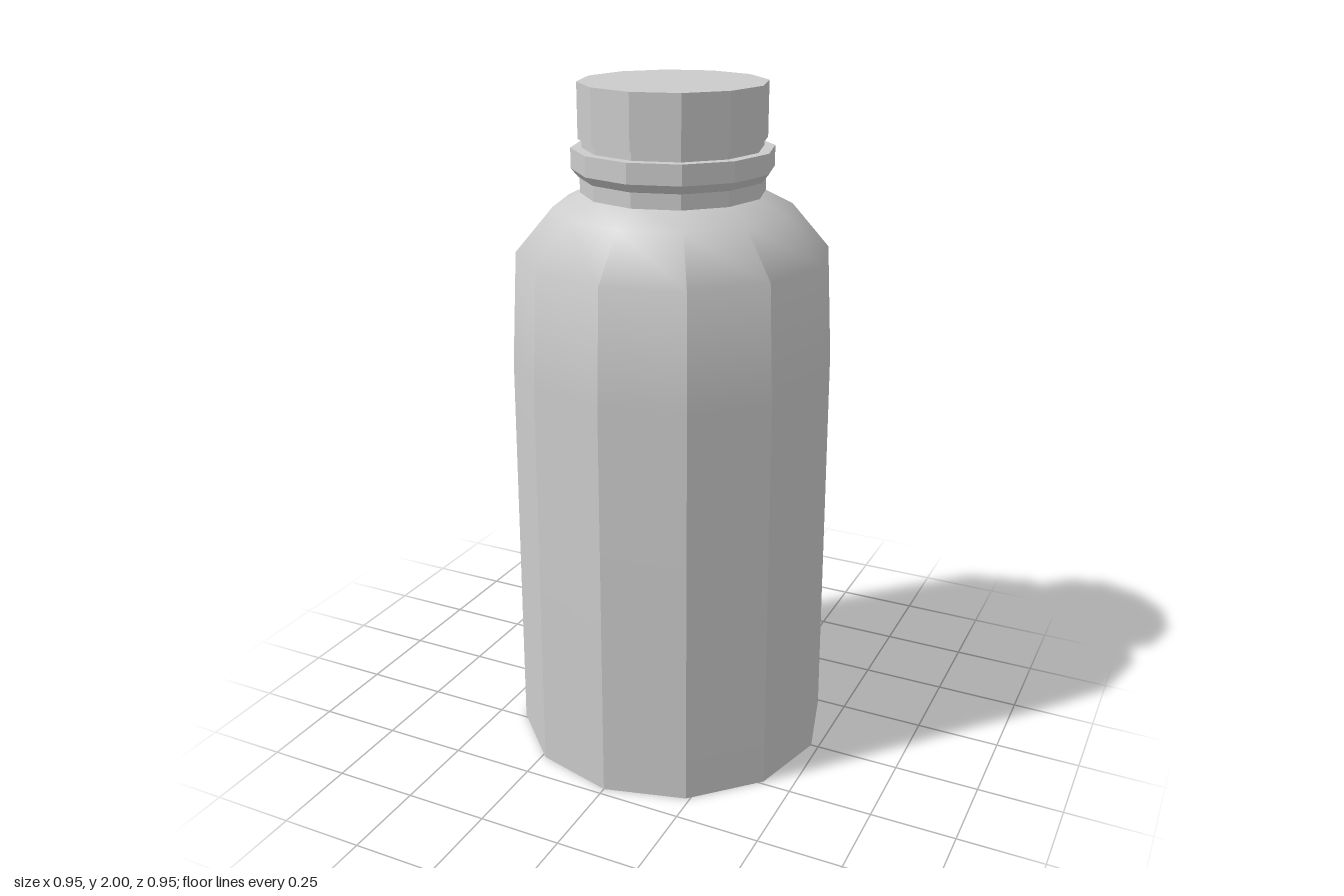
import * as THREE from 'three';

const SIDES = 12;
const material = new THREE.MeshStandardMaterial({ color: 0xcccccc });
const facetedMaterial = new THREE.MeshStandardMaterial({ color: 0xcccccc, flatShading: true });

const toPoints = (profile) => profile.map(([r, y]) => new THREE.Vector2(r, y));

function faceted(name, profile) {
  const mesh = new THREE.Mesh(new THREE.LatheGeometry(toPoints(profile), SIDES), facetedMaterial);
  mesh.name = name;
  return mesh;
}

// One panel of the body: flat across on the wall, rounding into the smooth shoulder
function panelGeometry(points, smoothFrom, index) {
  const step = (Math.PI * 2) / SIDES;
  const geometry = new THREE.LatheGeometry(points, 1, index * step, step);
  const middle = (index + 0.5) * step;
  const normal = geometry.attributes.normal;
  for (let i = 0; i < normal.count; i++) {
    if (i % points.length >= smoothFrom) continue;
    const radial = Math.hypot(normal.getX(i), normal.getZ(i));
    normal.setXYZ(i, Math.sin(middle) * radial, normal.getY(i), Math.cos(middle) * radial);
  }
  return geometry;
}

export function createModel() {
  const bottle = new THREE.Group();
  bottle.name = 'bottle';

  // Body wall and shoulder
  const body = new THREE.Group();
  body.name = 'body';
  const wall = toPoints([[0.477, 0], [0.467, 1.2], [0.448, 1.53], [0.34, 1.657], [0.25, 1.703]]);
  for (let i = 0; i < SIDES; i++) {
    const panel = new THREE.Mesh(panelGeometry(wall, 3, i), material);
    panel.name = 'bodyPanel';
    body.add(panel);
  }
  bottle.add(body);

  // Flat underside
  bottle.add(faceted('base', [[0, 0], [0.477, 0]]));

  // Neck, seal ring and screw cap
  bottle.add(faceted('neck', [[0.262, 1.68], [0.262, 1.75], [0.255, 1.78], [0.255, 1.86]]));
  bottle.add(faceted('sealRing', [[0.25, 1.735], [0.267, 1.742], [0.286, 1.765], [0.286, 1.822], [0.25, 1.822]]));
  bottle.add(faceted('cap', [[0.24, 1.845], [0.265, 1.845], [0.265, 2], [0, 2]]));

  return bottle;
}
